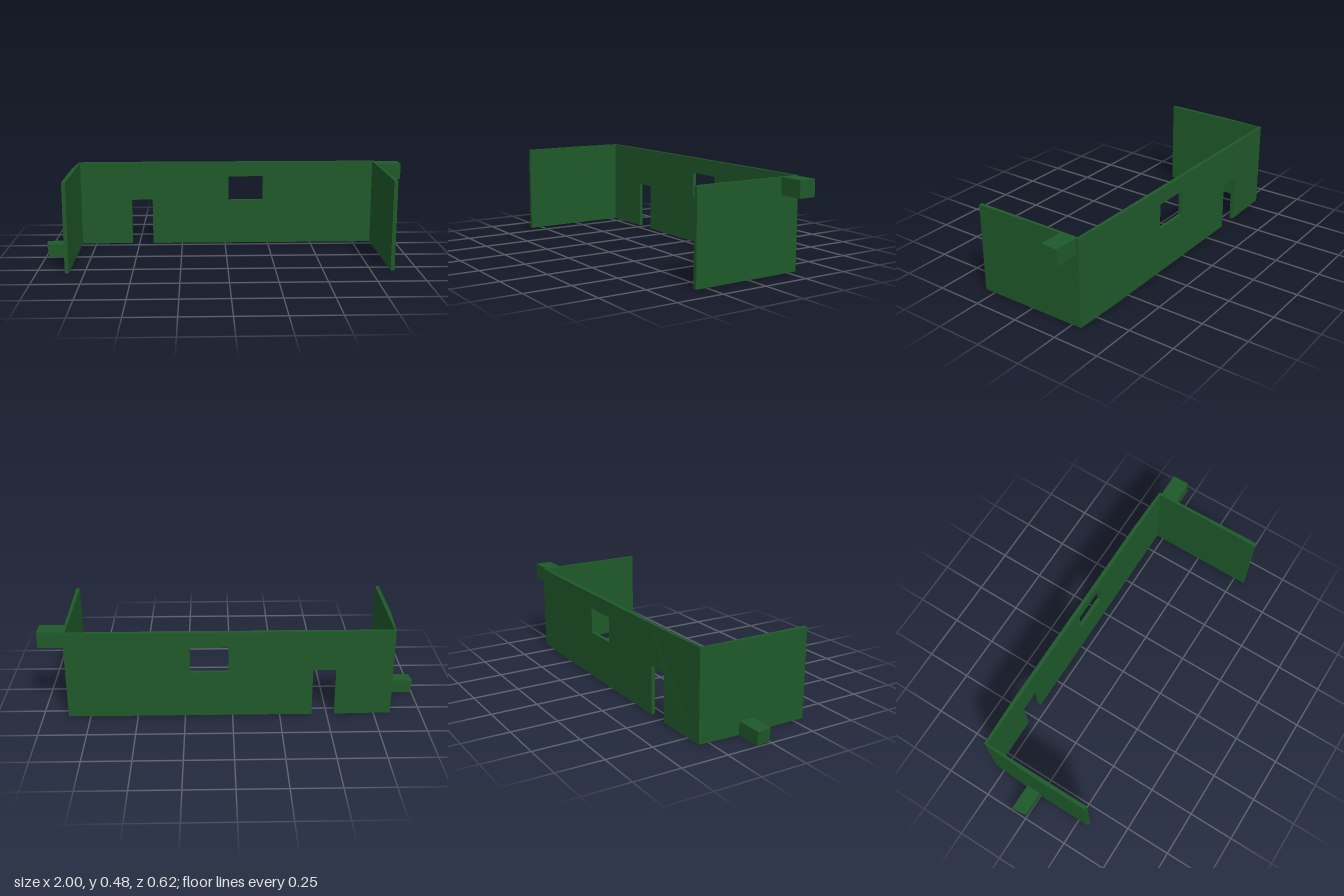
import * as THREE from 'three';

const green = new THREE.MeshStandardMaterial({ color: 0x1f5a2a, flatShading: true });

function addMesh(group, name, geometry) {
  geometry.computeVertexNormals();
  const mesh = new THREE.Mesh(geometry, green);
  mesh.name = name;
  group.add(mesh);
}

// Upright prism from a plan outline of [x, z] points
function planPrism(points, y0, y1) {
  const shape = new THREE.Shape(points.map(([x, z]) => new THREE.Vector2(x, -z)));
  const geometry = new THREE.ExtrudeGeometry(shape, { depth: y1 - y0, bevelEnabled: false });
  return geometry.rotateX(-Math.PI / 2).translate(0, y0, 0);
}

// Back wall with a doorway notch and a window; its outer face bows out slightly
function backWall() {
  const height = 0.48;
  const outline = [
    [-0.84, 0], [-0.54, 0], [-0.54, 0.26], [-0.42, 0.26], [-0.42, 0], [0.6, 0], [0.868, 0],
    [0.868, height], [0.6, height], [-0.42, height], [-0.54, height], [-0.84, height],
  ];
  const shape = new THREE.Shape(outline.map(([x, y]) => new THREE.Vector2(x, y)));
  const hole = [[0.02, 0.255], [0.02, 0.395], [0.22, 0.395], [0.22, 0.255]];
  shape.holes.push(new THREE.Path(hole.map(([x, y]) => new THREE.Vector2(x, y))));
  const geometry = new THREE.ExtrudeGeometry(shape, { depth: 0.02, bevelEnabled: false });
  geometry.translate(0, 0, -0.31);
  const p = geometry.attributes.position;
  for (let i = 0; i < p.count; i++) {
    if (p.getZ(i) < -0.3 && Math.abs(p.getX(i)) > 0.7) p.setZ(i, -0.303);
  }
  return geometry;
}

export function createModel() {
  const group = new THREE.Group();
  group.name = 'wallSection';

  addMesh(group, 'backWall', backWall());

  // Side walls, tapering a little in plan
  addMesh(group, 'rightSideWall', planPrism(
    [[-0.84, -0.303], [-0.852, -0.07], [-0.852, 0.31], [-0.832, 0.31], [-0.832, -0.29]], 0, 0.48));
  addMesh(group, 'leftSideWall', planPrism(
    [[0.855, -0.29], [0.855, 0.31], [0.876, 0.31], [0.868, -0.303]], 0, 0.48));

  // Low stub on the right wall, with its outer end leaning slightly
  const stub = planPrism(
    [[-1, -0.08], [-0.99, 0], [-0.831, 0], [-0.831, -0.08]], 0, 0.073);
  const p = stub.attributes.position;
  for (let i = 0; i < p.count; i++) {
    if (p.getX(i) < -0.9 && p.getY(i) < 0.01) p.setX(i, p.getX(i) + 0.008);
  }
  addMesh(group, 'lowStub', stub);

  // High stub at the back of the left wall
  addMesh(group, 'highStub', planPrism(
    [[0.862, -0.288], [0.862, -0.195], [1, -0.195], [1, -0.288]], 0.392, 0.48));

  return group;
}
